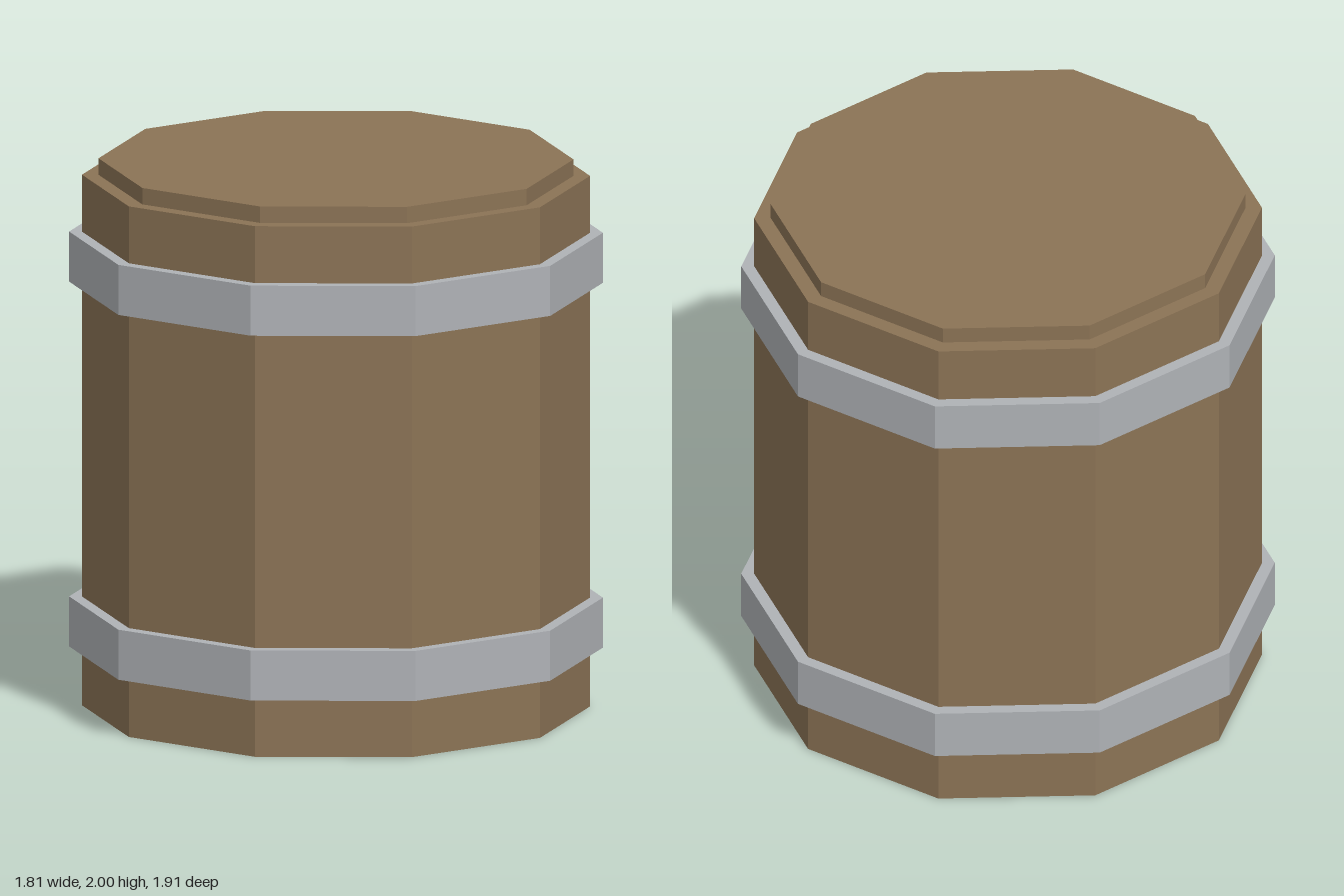
import * as THREE from 'three';

const SIDES = 10;

export function createModel() {
  const wood = new THREE.MeshStandardMaterial({ color: 0x8b7355, flatShading: true });
  wood.name = 'brown wood';
  const metal = new THREE.MeshStandardMaterial({ color: 0xafb2b6, flatShading: true });
  metal.name = 'grey metal';

  const barrel = new THREE.Group();
  barrel.name = 'barrel';

  const add = (name, geometry, material, y) => {
    const mesh = new THREE.Mesh(geometry, material);
    mesh.name = name;
    mesh.position.y = y;
    barrel.add(mesh);
  };

  // Ten-sided prism standing on its base, with a corner facing the front
  const prism = (radius, height) =>
    new THREE.CylinderGeometry(radius, radius, height, SIDES).translate(0, height / 2, 0);

  // Hollow hoop with a rectangular cross-section, sunk slightly into the wood
  const hoop = (inner, outer, height) =>
    new THREE.LatheGeometry(
      [[inner, 0], [outer, 0], [outer, height], [inner, height]].map(([r, y]) => new THREE.Vector2(r, y)),
      SIDES
    );

  // Wooden body and the smaller lid on top
  add('body', prism(0.908, 1.94), wood, 0);
  add('lid', prism(0.849, 0.06), wood, 1.94);

  // Metal hoops near both ends
  add('lowerHoop', hoop(0.89, 0.954, 0.183), metal, 0.215);
  add('upperHoop', hoop(0.89, 0.954, 0.183), metal, 1.549);

  return barrel;
}
